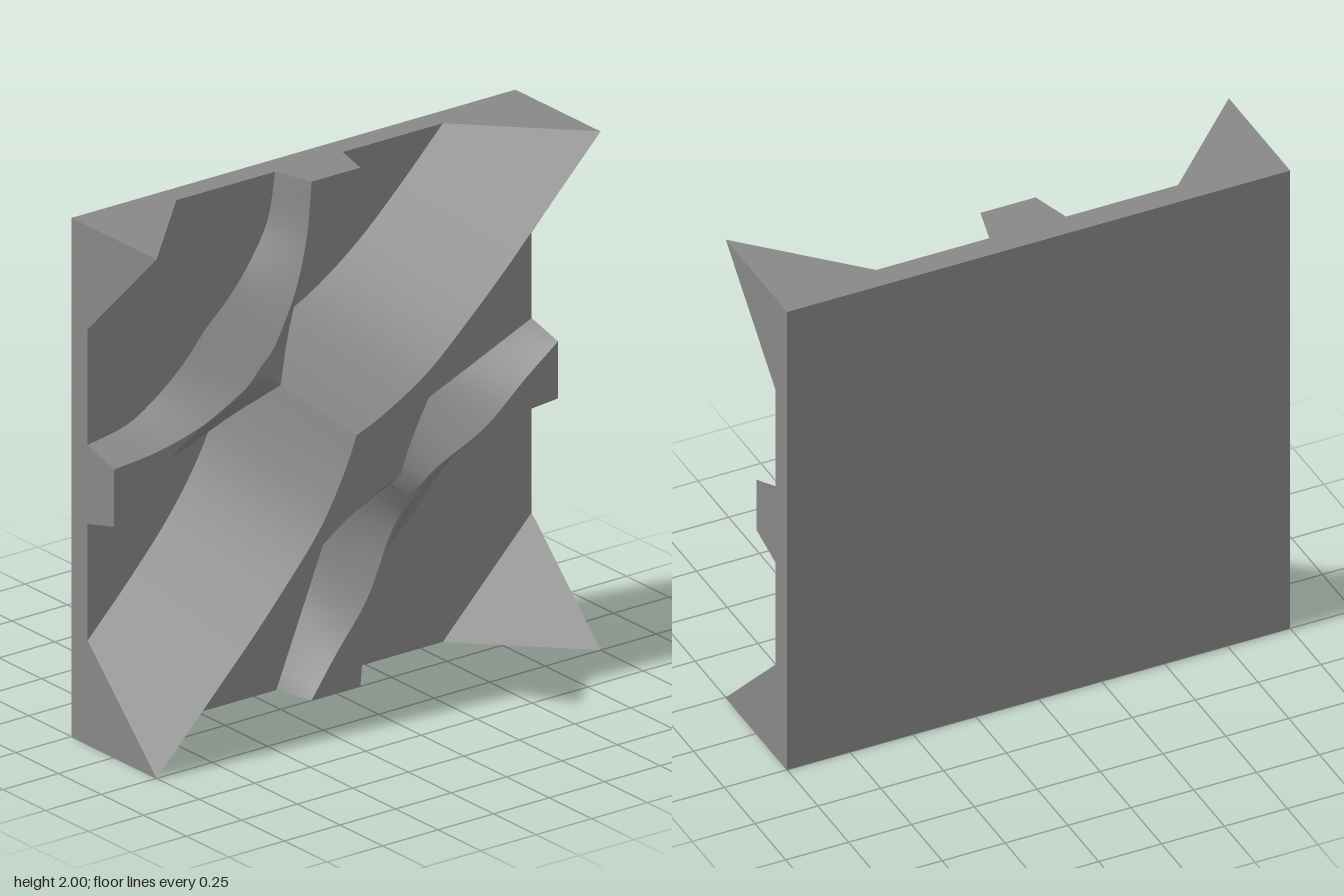
import * as THREE from 'three';

const BASE = -0.155; // front face of the backing slab
const TOP = 0.25;    // height of the diagonal ridge
const stone = new THREE.MeshStandardMaterial({ color: 0x888888 });
stone.name = 'grey stone';

// Points are written relative to the tile centre (y = 0 in the middle).
const P = (x, y, z) => new THREE.Vector3(x, y, z);
// (u, v): u along the ridge diagonal, v across it
const D = (u, v, z) => P((u - v) * Math.SQRT1_2, (u + v) * Math.SQRT1_2, z);

// The four mirror copies about the two diagonals
const mirrors = [
  p => P(p.x, p.y, p.z),
  p => P(-p.y, -p.x, p.z),
  p => P(p.y, p.x, p.z),
  p => P(-p.x, -p.y, p.z),
];

const smooth = (points, n = 16) => new THREE.CatmullRomCurve3(points).getPoints(n);

// Skin between two rails; every triangle is turned to face `facing`
function strip(a, b, map, facing = P(0, 0, 1)) {
  const pts = [...a, ...b].map(map);
  const ref = map(facing);
  const index = [];
  const add = (i, j, k) => {
    const n = pts[j].clone().sub(pts[i]).cross(pts[k].clone().sub(pts[i]));
    if (n.length() < 1e-7) return;
    if (n.dot(ref) > 0) index.push(i, j, k);
    else index.push(i, k, j);
  };
  const m = a.length;
  for (let i = 0; i < m - 1; i++) {
    add(i, i + 1, m + i);
    add(i + 1, m + i + 1, m + i);
  }
  const g = new THREE.BufferGeometry().setFromPoints(pts);
  g.setIndex(index);
  g.computeVertexNormals();
  return g;
}

export function createModel() {
  const model = new THREE.Group();
  model.name = 'reliefTile';

  const slab = new THREE.Mesh(new THREE.BoxGeometry(2, 2, BASE + 0.25), stone);
  slab.name = 'backingSlab';
  slab.position.set(0, 1, (BASE - 0.25) / 2);
  model.add(slab);

  // Diagonal ridge: plateau edge and foot as [u, half width]
  const crest = smooth([[0, 0.141], [0.1, 0.098], [0.33, 0.032], [0.58, 0.01], [0.85, 0], [1.131, 0]]
    .map(([u, w]) => D(u, w, TOP)), 20);
  const foot = smooth([[0, 0.485], [0.1, 0.445], [0.33, 0.354], [0.58, 0.302], [0.85, 0.285], [1.131, 0.283]]
    .map(([u, w]) => D(u, w, BASE)), 20);
  crest.push(P(1, 1, TOP));
  foot.push(P(0.6, 1, BASE));
  const axis = crest.map(p => D((p.x + p.y) * Math.SQRT1_2, 0, TOP));

  // Forked branch running from the axis node to the upper edge
  const outerFoot = smooth([[-0.47, 0.47], [-0.36, 0.57], [-0.27, 0.68], [-0.19, 0.82], [-0.155, 1]]
    .map(([x, y]) => P(x, y, BASE)));
  const outerCrest = smooth([[-0.34, 0.34], [-0.26, 0.42], [-0.18, 0.6], [-0.13, 0.8], [-0.11, 1]]
    .map(([x, y]) => P(x, y, 0)));
  const innerCrest = smooth([[-0.32, 0.32], [-0.225, 0.5], [-0.135, 0.68], [0, 0.85], [0.11, 1]]
    .map(([x, y]) => P(x, y, 0)));
  const innerFoot = smooth([[-0.25, 0.25, 0], [-0.07, 0.46, BASE], [-0.02, 0.59, BASE], [0.05, 0.76, BASE], [0.15, 1, BASE]]
    .map(c => P(...c)));
  const last = rail => rail[rail.length - 1];
  const up = P(0, 1, 0);

  // Corner spike beside the ridge
  const tip = P(-1, 1, TOP), side = P(-0.6, 1, BASE);

  const parts = { diagonalRidge: [], forkedBranch: [], cornerSpike: [] };
  mirrors.forEach((map, i) => {
    parts.diagonalRidge.push(
      strip(crest, foot, map),
      strip(crest, axis, map),
      strip([P(1, 1, TOP), P(1, 1, BASE)], [side, side].map(p => P(-p.x, p.y, p.z)), map, up));
    parts.forkedBranch.push(
      strip(outerCrest, innerCrest, map),
      strip(innerCrest, innerFoot, map),
      strip([last(outerCrest), last(innerCrest)], [last(outerFoot), last(innerFoot)], map, up));
    parts.cornerSpike.push(
      strip([tip, tip], [side, P(-0.8, 0.8, BASE)], map),
      strip([tip, P(-1, 1, BASE)], [side, side], map, up));
    // Outer flank sweeps smoothly through both arms of the fork
    if (i % 2 === 0) {
      const both = rail => [...rail.slice(1).reverse().map(mirrors[1]), ...rail];
      parts.forkedBranch.push(strip(both(outerCrest), both(outerFoot), map));
    }
  });

  for (const [name, geometries] of Object.entries(parts)) {
    const group = new THREE.Group();
    group.name = name;
    group.position.y = 1;
    geometries.forEach(g => {
      const mesh = new THREE.Mesh(g, stone);
      mesh.name = name + 'Face';
      group.add(mesh);
    });
    model.add(group);
  }
  return model;
}
